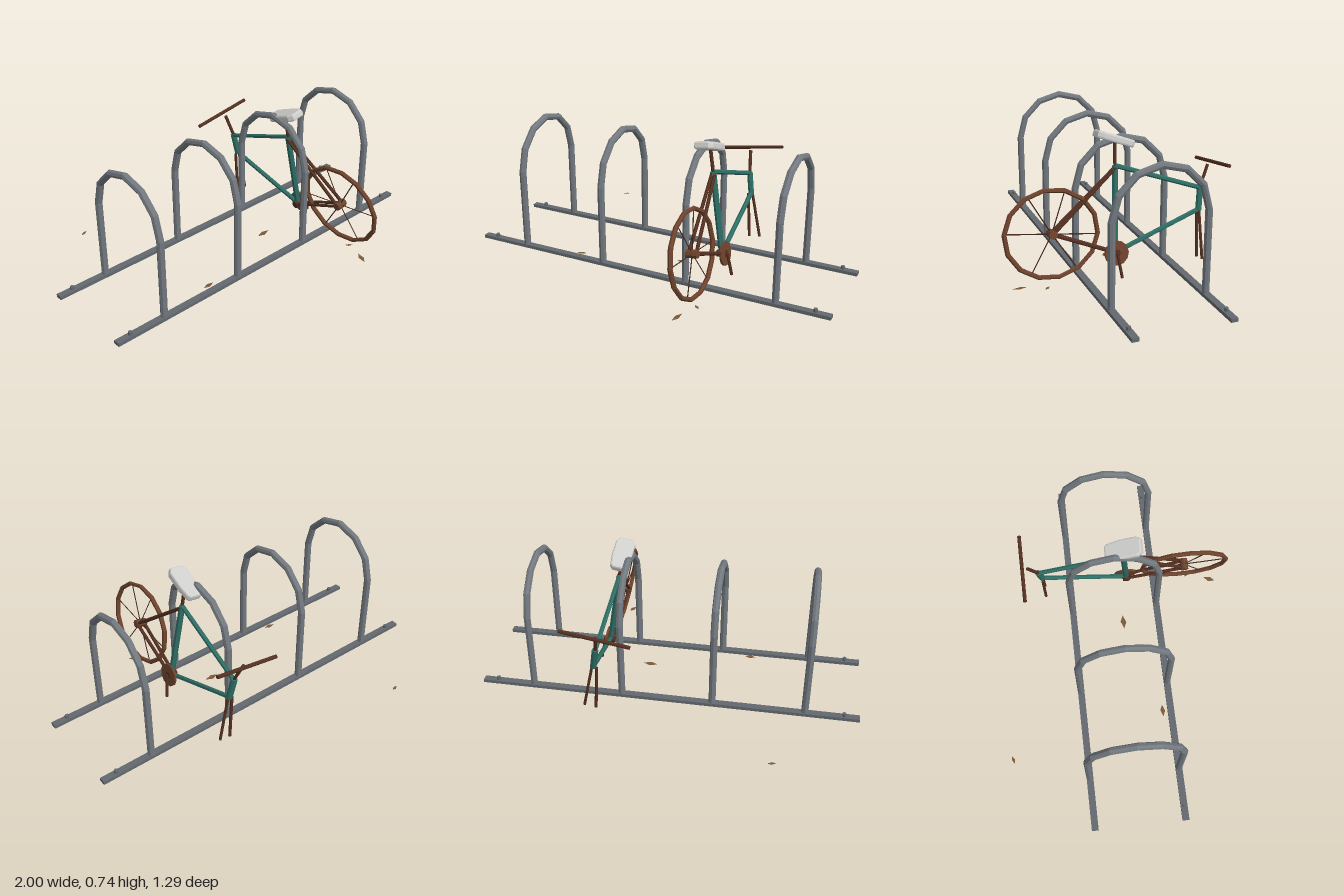
import * as THREE from 'three';

const mat = (name, color, side = THREE.FrontSide) => {
  const m = new THREE.MeshStandardMaterial({ color, side });
  m.name = name;
  m.flatShading = true;
  return m;
};

// Polyline whose corners coincide with the tube rings
class Polyline extends THREE.Curve {
  constructor(points) { super(); this.points = points; }
  getPoint(t, target = new THREE.Vector3()) {
    const n = this.points.length - 1;
    const i = Math.min(Math.floor(t * n), n - 1);
    return target.lerpVectors(this.points[i], this.points[i + 1], t * n - i);
  }
  getUtoTmapping(u) { return u; }
}

export function createModel() {
  const steel = mat('galvanised steel', 0x72797f);
  const darkSteel = mat('rail steel', 0x62696e);
  const teal = mat('teal paint', 0x2d6e65);
  const rust = mat('rust', 0x6e432d);
  const darkRust = mat('dark rust', 0x532f20);
  const spokeMat = mat('spoke brown', 0x40281d);
  const saddleMat = mat('saddle grey', 0xcfcfcd);
  const leafMat = mat('dry leaf', 0x7a5a38, THREE.DoubleSide);

  const model = new THREE.Group();
  model.name = 'bikeRackWithWreck';

  const add = (parent, name, geo, material, x = 0, y = 0, z = 0) => {
    const mesh = new THREE.Mesh(geo, material);
    mesh.name = name;
    mesh.position.set(x, y, z);
    parent.add(mesh);
    return mesh;
  };
  const UP = new THREE.Vector3(0, 1, 0);
  const rod = (parent, name, a, b, r, material, sides = 6) => {
    const p = new THREE.Vector3(...a), q = new THREE.Vector3(...b);
    const d = q.clone().sub(p);
    const mesh = add(parent, name, new THREE.CylinderGeometry(r, r, d.length(), sides), material);
    mesh.position.copy(p).add(q).multiplyScalar(0.5);
    mesh.quaternion.setFromUnitVectors(UP, d.normalize());
    return mesh;
  };

  // Rack: two ground rails with end bolts
  const rack = new THREE.Group();
  rack.name = 'rack';
  model.add(rack);
  for (const z of [-0.24, 0.24]) {
    add(rack, 'rail', new THREE.BoxGeometry(2, 0.018, 0.036), darkSteel, 0, 0.009, z);
    for (const x of [-0.92, 0.92]) {
      add(rack, 'bolt', new THREE.CylinderGeometry(0.011, 0.011, 0.018, 6), darkSteel, x, 0.026, z);
    }
  }

  // Rack: four hoops, straight legs joined by a six-sided arc
  const path = [new THREE.Vector3(0, 0.01, 0.24)];
  for (let i = 0; i <= 6; i++) {
    const a = (i / 6) * Math.PI;
    path.push(new THREE.Vector3(0, 0.44 + 0.24 * Math.sin(a), 0.24 * Math.cos(a)));
  }
  path.push(new THREE.Vector3(0, 0.01, -0.24));
  const hoopGeo = new THREE.TubeGeometry(new Polyline(path), path.length - 1, 0.0185, 8);
  for (const x of [-0.72, -0.24, 0.24, 0.72]) add(rack, 'hoop', hoopGeo, steel, x);

  // Bicycle, built upright on x = 0 and then leaned over
  const bike = new THREE.Group();
  bike.name = 'bicycle';
  bike.position.x = 0.392;
  bike.rotation.z = 0.163;
  model.add(bike);

  const seatTop = [0, 0.563, 0.055], crankAxle = [0, 0.132, 0.08];
  const headTop = [0, 0.405, -0.4], headLow = [0, 0.284, -0.384];
  const hub = [0, 0.27, 0.398];

  // Frame tubes
  rod(bike, 'seatTube', crankAxle, seatTop, 0.016, teal);
  rod(bike, 'topTube', seatTop, [0, 0.398, -0.4], 0.012, teal);
  rod(bike, 'downTube', crankAxle, [0, 0.289, -0.385], 0.0125, teal);
  rod(bike, 'headTube', headTop, headLow, 0.0165, teal, 8);
  for (const s of [-1, 1]) {
    const end = [s * 0.02, hub[1], hub[2]];
    rod(bike, 'seatStay', end, [s * 0.008, seatTop[1] - 0.01, seatTop[2]], 0.009, darkRust);
    rod(bike, 'chainStay', end, [s * 0.012, crankAxle[1], crankAxle[2]], 0.009, darkRust);
  }

  // Empty fork
  for (const x of [-0.043, 0.018]) {
    rod(bike, 'forkBlade', [x * 0.4, 0.285, -0.384], [x, 0.03, -0.385], 0.008, darkRust);
  }

  // Stem and handlebar
  rod(bike, 'stem', headTop, [0, 0.513, -0.447], 0.009, darkRust);
  rod(bike, 'handlebar', [-0.177, 0.523, -0.474], [0.177, 0.523, -0.474], 0.0095, darkRust, 8);

  // Cranks
  rod(bike, 'bottomBracket', [-0.025, 0.132, 0.08], [0.025, 0.132, 0.08], 0.02, darkRust, 8);
  rod(bike, 'chainring', [0.012, 0.132, 0.08], [0.024, 0.132, 0.08], 0.063, rust, 12);
  rod(bike, 'crankArm', [0.03, 0.132, 0.08], [0.03, 0.006, 0.062], 0.008, darkRust);

  // Squashed rear wheel
  const wheel = new THREE.Group();
  wheel.name = 'rearWheel';
  wheel.position.set(...hub);
  bike.add(wheel);
  const rimGeo = new THREE.TorusGeometry(0.234, 0.0125, 6, 14);
  rimGeo.rotateZ(-0.12).scale(1, 0.92, 1).rotateY(Math.PI / 2);
  add(wheel, 'rim', rimGeo, rust);
  rod(wheel, 'hub', [-0.03, 0, 0], [0.03, 0, 0], 0.022, rust, 8);
  for (const deg of [172, 117, 70, -8, -60, -120]) {
    const a = THREE.MathUtils.degToRad(deg);
    rod(wheel, 'spoke', [0, 0, 0], [0, 0.21 * Math.sin(a), -0.228 * Math.cos(a)], 0.003, spokeMat, 4);
  }

  // Seat post and nose-down saddle
  rod(bike, 'seatPost', seatTop, [0, 0.685, 0.05], 0.009, darkRust);
  const outline = new THREE.Shape([
    [-0.03, -0.09], [0.03, -0.09], [0.042, -0.07], [0.042, 0.02],
    [0.034, 0.08], [0.026, 0.09], [-0.026, 0.09], [-0.034, 0.08], [-0.042, 0.02], [-0.042, -0.07],
  ].map(([x, y]) => new THREE.Vector2(x, y)));
  const saddleGeo = new THREE.ExtrudeGeometry(outline, {
    depth: 0.018, bevelThickness: 0.01, bevelSize: 0.009, bevelSegments: 2,
  });
  saddleGeo.translate(0, 0, -0.009).rotateX(-Math.PI / 2);
  add(bike, 'saddle', saddleGeo, saddleMat, 0, 0.695, 0.052).rotation.x = -0.36;

  // Fallen leaves: x, z, length, heading, tilt
  const leaves = [
    [-0.58, -0.64, 0.045, 0.3, 0.1], [0.14, 0.04, 0.08, 0, 0.05], [-0.4, 0.195, 0.065, 0, 0.05],
    [0.395, 0.44, 0.045, -0.8, 0.05], [0.349, 0.565, 0.07, 1.2, 0.15],
  ];
  for (const [x, z, len, heading, tilt] of leaves) {
    const shape = new THREE.Shape([[-0.5, 0], [-0.05, -0.2], [0.5, 0], [0.05, 0.2]]
      .map(([u, v]) => new THREE.Vector2(u * len, v * len)));
    const geo = new THREE.ShapeGeometry(shape).rotateX(-Math.PI / 2).rotateZ(tilt).rotateY(heading);
    add(model, 'leaf', geo, leafMat, x, 0.011, z);
  }

  return model;
}
